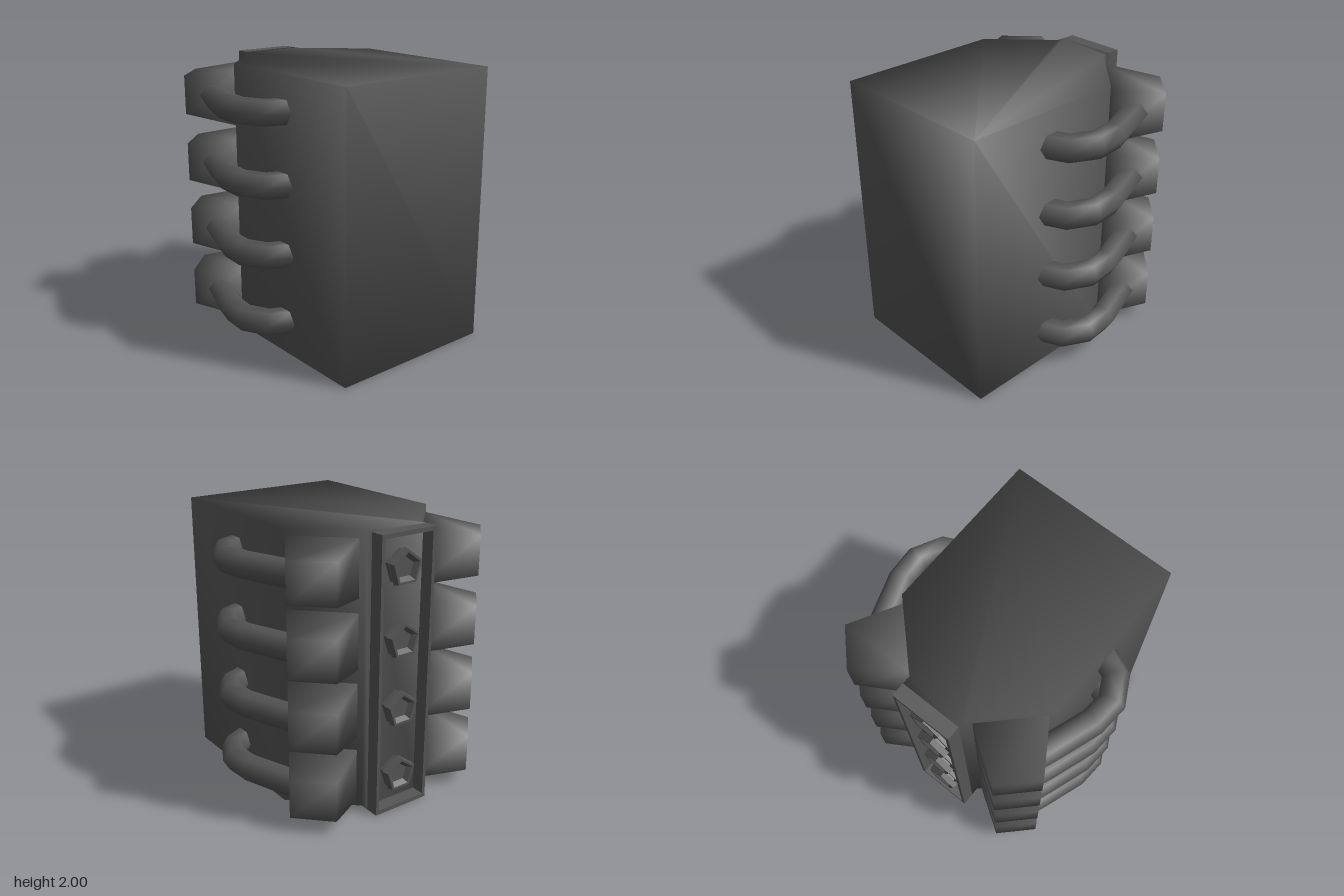
import * as THREE from 'three';
import { mergeVertices } from 'three/addons/utils/BufferGeometryUtils.js';

const metal = new THREE.MeshStandardMaterial({ color: 0x555555 });
const flatMetal = new THREE.MeshStandardMaterial({ color: 0x555555, flatShading: true });

// Share corners and average the normals for a soft look
function soften(geometry) {
  geometry.deleteAttribute('normal');
  geometry.deleteAttribute('uv');
  const merged = mergeVertices(geometry, 1e-4);
  merged.computeVertexNormals();
  return merged;
}

function addMesh(parent, name, geometry, material = metal) {
  const mesh = new THREE.Mesh(geometry, material);
  mesh.name = name;
  parent.add(mesh);
  return mesh;
}

const toShape = pts => new THREE.Shape(pts.map(([x, y]) => new THREE.Vector2(x, y)));

// Six-sided pipe along a path of [x, z] points at y = 0
function pipeGeometry(path, r, sides = 6) {
  const positions = [], index = [];
  path.forEach(([x, z], i) => {
    const a = path[Math.max(i - 1, 0)], b = path[Math.min(i + 1, path.length - 1)];
    const t = new THREE.Vector2(b[0] - a[0], b[1] - a[1]).normalize();
    for (let k = 0; k < sides; k++) {
      const angle = k / sides * Math.PI * 2, out = r * Math.cos(angle);
      positions.push(x + t.y * out, r * Math.sin(angle), z - t.x * out);
      if (i === 0) continue;
      const k2 = (k + 1) % sides, p = (i - 1) * sides, q = i * sides;
      index.push(p + k, p + k2, q + k, p + k2, q + k2, q + k);
    }
  });
  const geometry = new THREE.BufferGeometry();
  geometry.setAttribute('position', new THREE.Float32BufferAttribute(positions, 3));
  geometry.setIndex(index);
  geometry.computeVertexNormals();
  return geometry;
}

// Tapered port: wide at the block, narrow at the outer face
function portGeometry() {
  const geometry = new THREE.BoxGeometry(0.48, 0.4, 0.39);
  const pos = geometry.attributes.position;
  for (let i = 0; i < pos.count; i++) {
    if (pos.getZ(i) > 0) pos.setXY(i, pos.getX(i) * 0.66, pos.getY(i) * 0.7);
  }
  geometry.rotateY(Math.PI * 0.75);
  geometry.translate(0.57, 0, -0.648);
  return soften(geometry);
}

export function createModel() {
  const model = new THREE.Group();
  model.name = 'engineBlock';
  const rows = [0.25, 0.75, 1.25, 1.75];
  const floorZ = -0.76, backZ = -0.86;

  // Main block with chamfered back corners and a raised spine
  const half = [[0.63, -0.9], [0.63, 0.31], [0.225, 0.7], [0.225, -floorZ]];
  const outline = [...half, ...half.map(([x, y]) => [-x, y]).reverse()];
  const block = new THREE.ExtrudeGeometry(toShape(outline), { depth: 2, bevelEnabled: false });
  block.rotateX(-Math.PI / 2);
  addMesh(model, 'block', soften(block));

  // Thin rim around the recess in the spine
  const rect = (w, y0, y1) => toShape([[-w, y0], [w, y0], [w, y1], [-w, y1]]);
  const rim = rect(0.225, 0, 2);
  rim.holes.push(rect(0.2, 0.03, 1.97));
  const rimGeometry = new THREE.ExtrudeGeometry(rim, { depth: floorZ - backZ, bevelEnabled: false });
  rimGeometry.translate(0, 0, backZ);
  addMesh(model, 'spineRim', rimGeometry);

  // Five-sided plugs with a collar, a groove and a hollow head
  const plugProfile = [[0.12, 0], [0.12, 0.03], [0.085, 0.03], [0.085, 0.05], [0.135, 0.05],
    [0.125, 0.095], [0.105, 0.095], [0.075, 0.06], [0, 0.06]].map(p => new THREE.Vector2(...p));
  const plug = new THREE.LatheGeometry(plugProfile, 5);
  plug.rotateX(-Math.PI / 2);
  for (const y of rows) addMesh(model, 'plug', plug, flatMetal).position.set(0, y, floorZ);

  // Ports and curved pipes of one side
  const port = portGeometry();
  const pipe = pipeGeometry([[0.62, -0.66], [0.7, -0.46], [0.81, -0.15], [0.825, 0.035],
    [0.74, 0.2], [0.58, 0.27]], 0.095);
  const leftSide = new THREE.Group();
  leftSide.name = 'leftSide';
  for (const y of rows) {
    addMesh(leftSide, 'port', port).position.y = y;
    addMesh(leftSide, 'pipe', pipe).position.y = y;
  }
  model.add(leftSide);

  // The other side is the same set turned half round the z axis
  const rightSide = leftSide.clone();
  rightSide.name = 'rightSide';
  rightSide.rotation.z = Math.PI;
  rightSide.position.y = 2;
  model.add(rightSide);
  return model;
}
